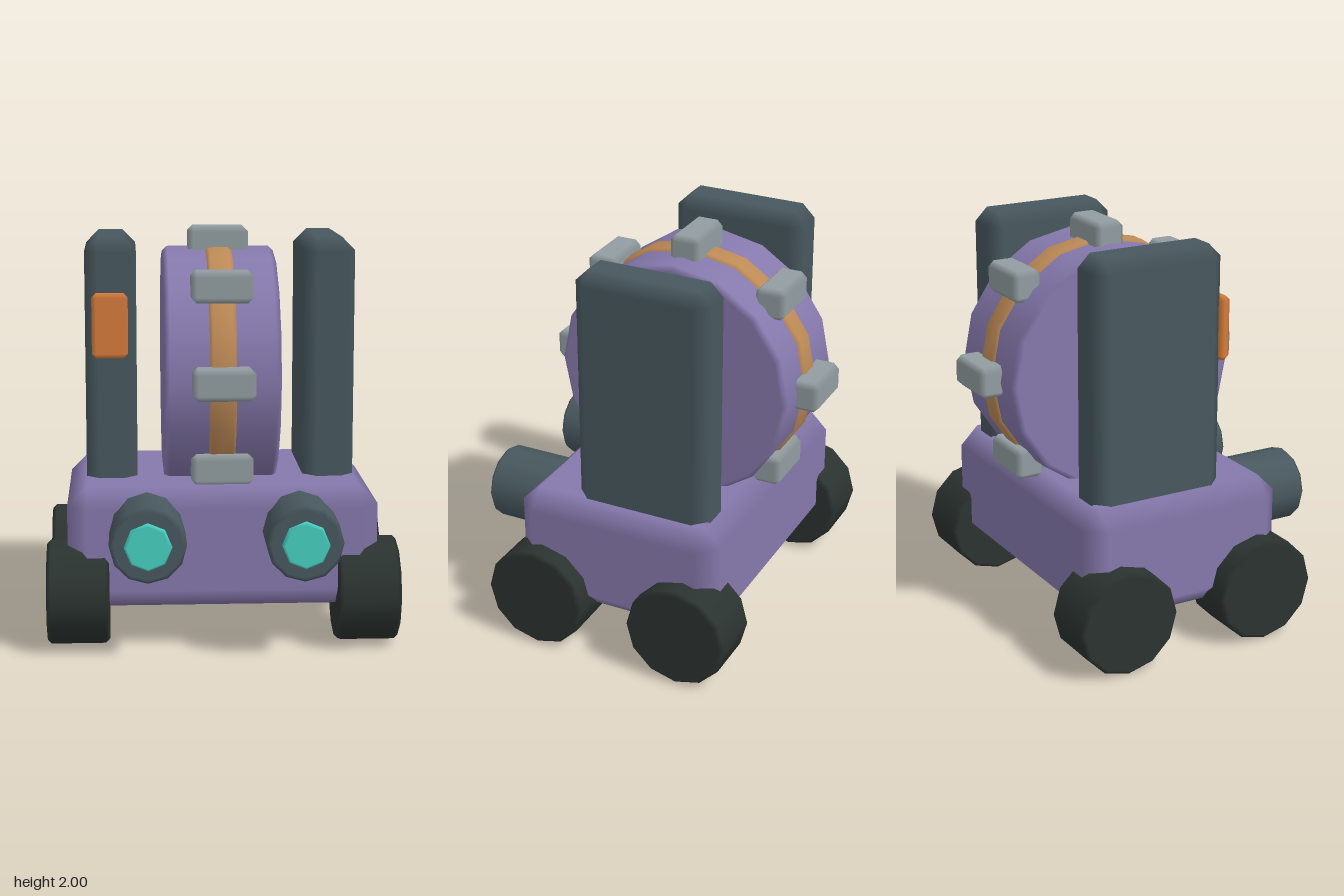
import * as THREE from 'three';
import { ConvexGeometry } from 'three/addons/geometries/ConvexGeometry.js';

const material = (name, color) => {
  const m = new THREE.MeshStandardMaterial({ color });
  m.name = name;
  return m;
};

// Box with single chamfers; broad faces stay flat and the chamfers blend between them.
function chamferBox(w, h, d, c) {
  const half = [w / 2, h / 2, d / 2];
  const points = [];
  for (const sx of [-1, 1]) for (const sy of [-1, 1]) for (const sz of [-1, 1]) {
    const s = [sx, sy, sz];
    for (let axis = 0; axis < 3; axis++) {
      points.push(new THREE.Vector3(...s.map((v, i) => v * (half[i] - (i === axis ? 0 : c)))));
    }
  }
  const geo = new ConvexGeometry(points);
  const pos = geo.attributes.position;
  for (let i = 0; i < pos.count; i++) {
    const p = [pos.getX(i), pos.getY(i), pos.getZ(i)];
    geo.attributes.normal.setXYZ(i, ...p.map((v, k) => (Math.abs(Math.abs(v) - half[k]) < 1e-5 ? Math.sign(v) : 0)));
  }
  return geo;
}

// Disc along y with chamfered rims, flat caps and a smooth side.
function chamferDisc(r, length, c, sides) {
  const h = length / 2;
  const profile = [[0, -h], [r - c, -h], [r, c - h], [r, h - c], [r - c, h], [0, h]];
  const geo = new THREE.LatheGeometry(profile.map(([x, y]) => new THREE.Vector2(x, y)), sides);
  const pos = geo.attributes.position;
  for (let i = 0; i < pos.count; i++) {
    const x = pos.getX(i), y = pos.getY(i), z = pos.getZ(i);
    if (Math.abs(Math.abs(y) - h) < 1e-5) geo.attributes.normal.setXYZ(i, 0, Math.sign(y), 0);
    else geo.attributes.normal.setXYZ(i, x / r, 0, z / r);
  }
  return geo;
}

export function createModel() {
  const purple = material('purple paint', 0x8679ad);
  const slate = material('slate', 0x48585e);
  const rubber = material('dark rubber', 0x2b3330);
  const teal = material('teal glass', 0x47d1c2);
  const orange = material('orange', 0xd67c3c);
  const steel = material('grey metal', 0x929da1);
  const tan = material('tan strap', 0xbd8a56);

  const model = new THREE.Group();
  const add = (name, geo, mat, x, y, z) => {
    const mesh = new THREE.Mesh(geo, mat);
    mesh.name = name;
    mesh.position.set(x, y, z);
    model.add(mesh);
    return mesh;
  };

  // Chassis
  add('chassis', chamferBox(1.5, 0.59, 1.07, 0.095), purple, 0, 0.495, -0.027);

  // Wheels, side towers and headlights, mirrored
  const wheelGeo = chamferDisc(0.26, 0.3, 0.02, 12).rotateZ(Math.PI / 2);
  const towerGeo = chamferBox(0.25, 1.36, 0.69, 0.065);
  const lampGeo = chamferDisc(0.182, 0.42, 0.02, 12).rotateX(Math.PI / 2);
  const lensGeo = chamferDisc(0.112, 0.05, 0.012, 8).rotateX(Math.PI / 2);
  for (const [side, s] of [['left', 1], ['right', -1]]) {
    add(side + 'FrontWheel', wheelGeo, rubber, s * 0.7, 0.26, 0.355);
    add(side + 'BackWheel', wheelGeo, rubber, s * 0.7, 0.26, -0.408);
    add(side + 'Tower', towerGeo, slate, s * 0.533, 1.283, -0.13);
    add(side + 'Headlight', lampGeo, slate, s * 0.367, 0.585, 0.57);
    add(side + 'HeadlightLens', lensGeo, teal, s * 0.367, 0.585, 0.788);
  }

  // Indicator panel on the right tower
  add('indicatorPanel', chamferBox(0.175, 0.315, 0.06, 0.022), orange, -0.537, 1.545, 0.235);

  // Upright drum with its strap
  const drumY = 1.3, drumZ = -0.115;
  add('drum', chamferDisc(0.6, 0.555, 0.025, 16).rotateZ(Math.PI / 2), purple, 0, drumY, drumZ);
  const strapProfile = [[0.55, -0.07], [0.595, -0.07], [0.613, -0.048], [0.613, 0.048], [0.595, 0.07], [0.55, 0.07]];
  const strapGeo = new THREE.LatheGeometry(strapProfile.map(([x, y]) => new THREE.Vector2(x, y)), 16);
  add('strap', strapGeo.rotateZ(Math.PI / 2), tan, 0, drumY, drumZ);

  // Cleats around the drum, all kept level
  const cleatGeo = chamferBox(0.3, 0.152, 0.152, 0.027);
  for (let i = 0; i < 8; i++) {
    const a = (i * Math.PI) / 4;
    add('cleat' + (i + 1), cleatGeo, steel, 0, drumY + 0.625 * Math.cos(a), drumZ + 0.625 * Math.sin(a));
  }
  return model;
}
